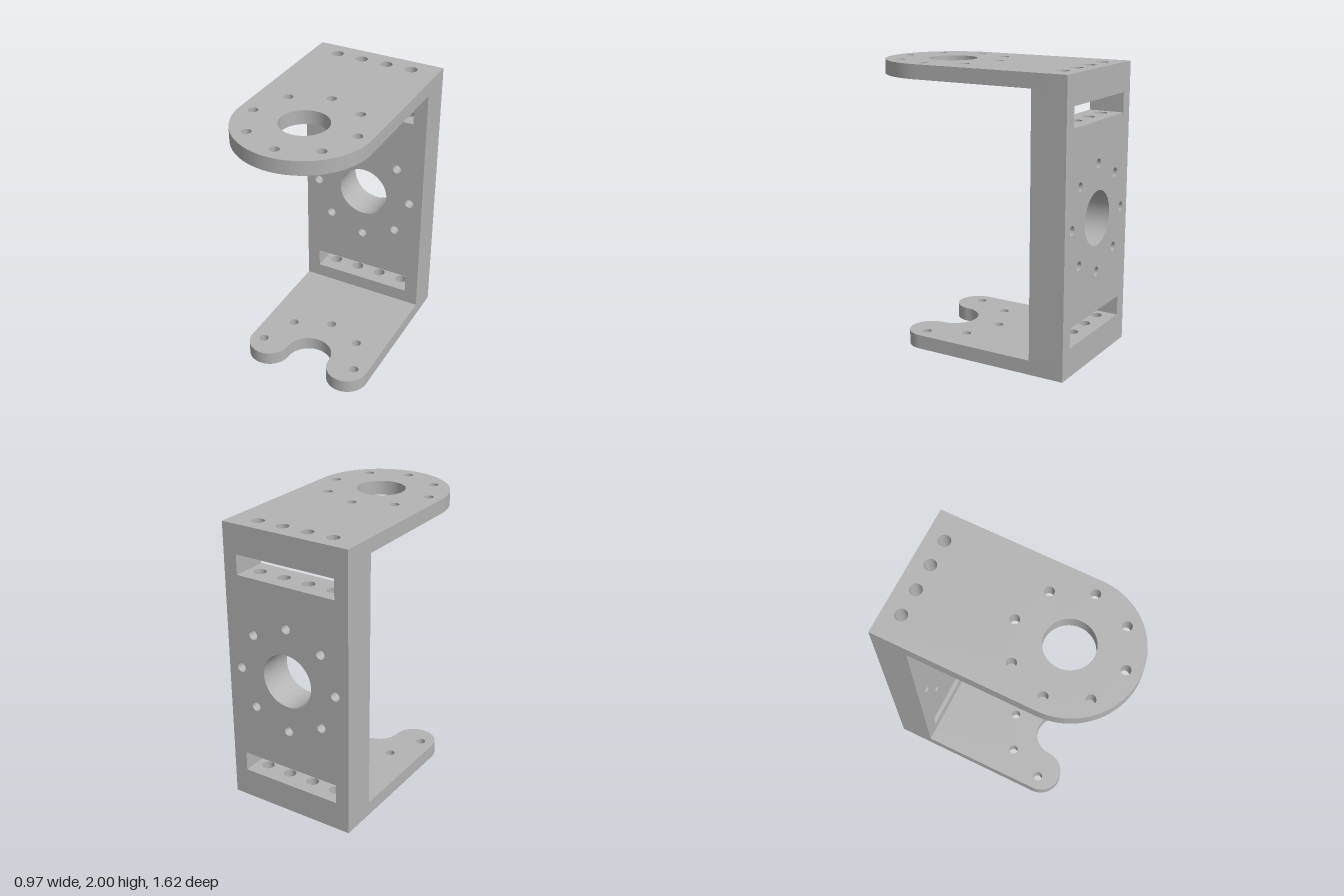
import * as THREE from 'three';
import { toCreasedNormals } from 'three/addons/utils/BufferGeometryUtils.js';

const HALF = 0.471;   // half width of the bracket
const DEPTH = 0.25;   // thickness of the upright
const PIVOT = 1.132;  // distance from the back to the pivot axis
const BORE = 0.168;   // pivot bore radius
const RING = 0.372;   // bolt circle radius

const metal = new THREE.MeshStandardMaterial({ color: 0xb4b4b4 });
metal.name = 'grey metal';

function hole(shape, x, y, r) {
  const path = new THREE.Path();
  path.absarc(x, y, r, 0, Math.PI * 2, true);
  shape.holes.push(path);
}

// Bolt holes at every 45 degrees, from step first to step last
function boltRing(shape, y, first, last) {
  for (let i = first; i <= last; i++) {
    const a = i * Math.PI / 4;
    hole(shape, RING * Math.cos(a), y + RING * Math.sin(a), 0.033);
  }
}

// Row of four vertical screw holes through the upright
function screwRow(shape) {
  for (const i of [-1.5, -0.5, 0.5, 1.5]) hole(shape, i * 0.189, DEPTH / 2, 0.043);
}

function rect(x0, y0, x1, y1) {
  return new THREE.Shape([
    new THREE.Vector2(x0, y0), new THREE.Vector2(x1, y0),
    new THREE.Vector2(x1, y1), new THREE.Vector2(x0, y1),
  ]);
}

function extrude(shape, depth) {
  return new THREE.ExtrudeGeometry(shape, { depth, bevelEnabled: false, curveSegments: 32 });
}

export function createModel() {
  const model = new THREE.Group();
  model.name = 'bracket';
  const body = new THREE.Group();
  body.name = 'bracketBody';
  body.position.set(0.014, 0, -0.797);
  body.rotation.y = -0.0287;
  model.add(body);

  const add = (name, geometry) => {
    const mesh = new THREE.Mesh(toCreasedNormals(geometry, 0.6), metal);
    mesh.name = name;
    body.add(mesh);
  };
  // Horizontal layer: a plan outline (x, z) filled between two heights
  const layer = (name, shape, y0, y1) =>
    add(name, extrude(shape, y1 - y0).rotateX(Math.PI / 2).translate(0, y1, 0));

  // Upper arm with a round end and a full bolt circle
  const upper = new THREE.Shape();
  upper.moveTo(-HALF, 0);
  upper.lineTo(HALF, 0);
  upper.lineTo(HALF, PIVOT);
  upper.absarc(0, PIVOT, HALF, 0, Math.PI, false);
  upper.closePath();
  hole(upper, 0, PIVOT, BORE);
  boltRing(upper, PIVOT, 0, 7);
  screwRow(upper);
  layer('upperArm', upper, 1.9, 2);

  // Lower arm with an open notch between two rounded lobes
  const lobe = (HALF - BORE) / 2, mid = (HALF + BORE) / 2;
  const lower = new THREE.Shape();
  lower.moveTo(-HALF, 0);
  lower.lineTo(HALF, 0);
  lower.lineTo(HALF, PIVOT);
  lower.absarc(mid, PIVOT, lobe, 0, Math.PI, false);
  lower.absarc(0, PIVOT, BORE, 0, Math.PI, true);
  lower.absarc(-mid, PIVOT, lobe, 0, Math.PI, false);
  lower.closePath();
  boltRing(lower, PIVOT, 4, 8);
  screwRow(lower);
  layer('lowerArm', lower, 0, 0.1);

  // Upright around the two slots, mirrored top and bottom
  const mirrored = (name, shape, y0, y1) => {
    layer('lower' + name, shape, y0, y1);
    layer('upper' + name, shape, 2 - y1, 2 - y0);
  };
  const drilled = rect(-HALF, 0, HALF, DEPTH);
  screwRow(drilled);
  mirrored('SlotOuterWall', drilled, 0.1, 0.203);
  mirrored('SlotLeftPost', rect(RING, 0, HALF, DEPTH), 0.203, 0.342);
  mirrored('SlotRightPost', rect(-HALF, 0, -RING, DEPTH), 0.203, 0.342);
  mirrored('SlotInnerWall', drilled, 0.342, 0.45);

  // Middle of the upright with its bore and bolt circle
  const plate = rect(-HALF, 0.45, HALF, 1.55);
  hole(plate, 0, 1, 0.188);
  boltRing(plate, 1, 0, 7);
  add('uprightPlate', extrude(plate, DEPTH));

  return model;
}
